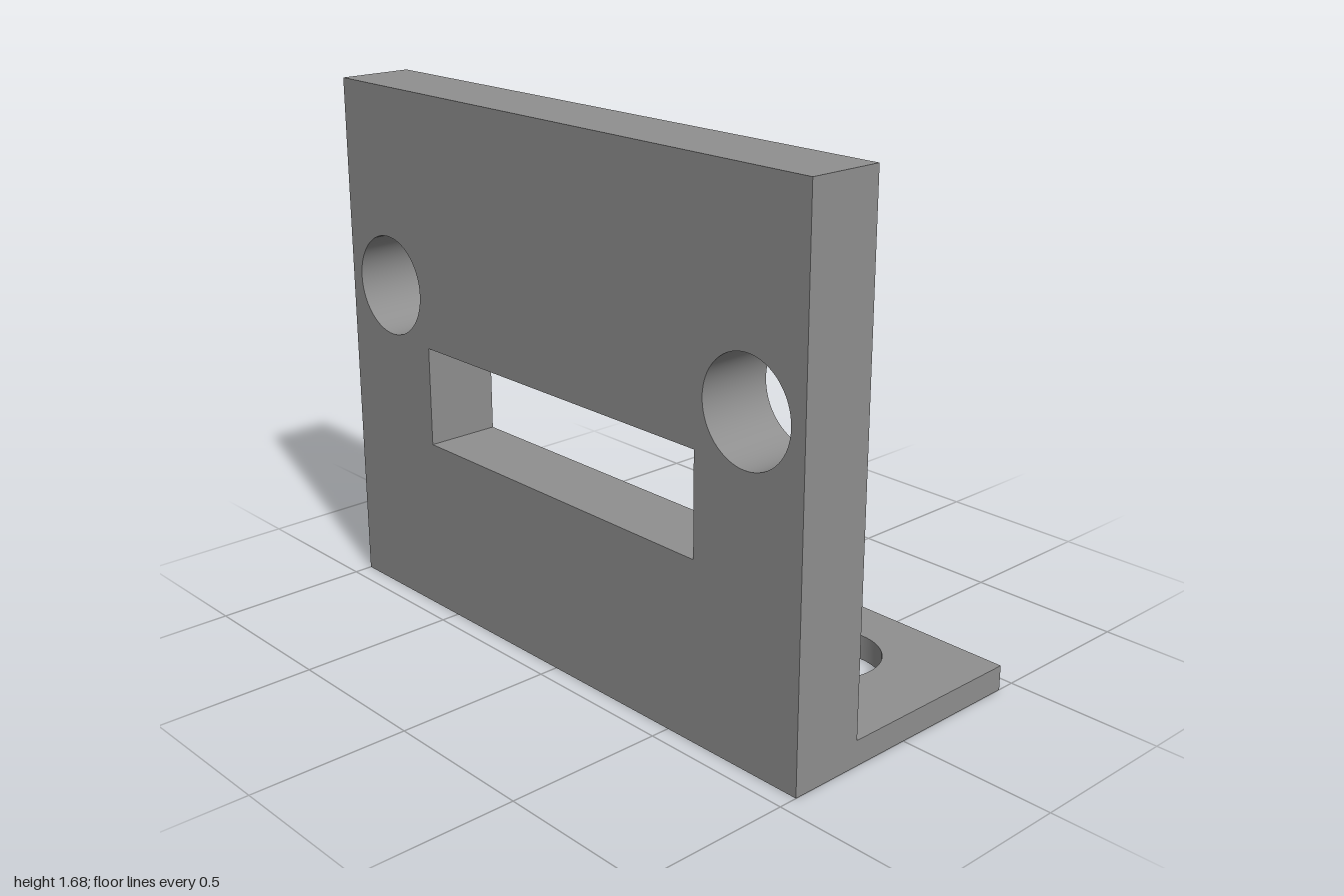
import * as THREE from 'three';
import { toCreasedNormals } from 'three/addons/utils/BufferGeometryUtils.js';

const HOLE_RADIUS = 0.16;

function rectangle(path, x0, y0, x1, y1) {
  path.moveTo(x0, y0);
  path.lineTo(x1, y0);
  path.lineTo(x1, y1);
  path.lineTo(x0, y1);
  path.closePath();
  return path;
}

function roundHole(x, y) {
  return new THREE.Path().absarc(x, y, HOLE_RADIUS, 0, Math.PI * 2, true);
}

function extrudePlate(shape, depth) {
  const geometry = new THREE.ExtrudeGeometry(shape, { depth, bevelEnabled: false, curveSegments: 48 });
  return toCreasedNormals(geometry, Math.PI / 6);
}

export function createModel() {
  const bracket = new THREE.Group();
  bracket.name = 'bracket';
  const grey = new THREE.MeshStandardMaterial({ color: 0x8f8f8f });
  grey.name = 'grey';

  // Upright plate with a wide slot and two slightly uneven bolt holes
  const upright = rectangle(new THREE.Shape(), -1, 0, 1, 1.68);
  upright.holes.push(
    rectangle(new THREE.Path(), -0.6, 0.56, 0.6, 0.88),
    roundHole(-0.795, 1.045),
    roundHole(0.79, 1.035)
  );
  const uprightPlate = new THREE.Mesh(extrudePlate(upright, 0.24), grey);
  uprightPlate.name = 'uprightPlate';
  uprightPlate.position.z = 0.2;
  bracket.add(uprightPlate);

  // Thin foot behind it, drawn with shape y as -z and laid flat
  const foot = rectangle(new THREE.Shape(), -1, -0.2, 1, 0.44);
  for (const side of [-1, 1]) foot.holes.push(roundHole(side * 0.6, 0.125));
  const footPlate = new THREE.Mesh(extrudePlate(foot, 0.08).rotateX(-Math.PI / 2), grey);
  footPlate.name = 'footPlate';
  bracket.add(footPlate);

  return bracket;
}
